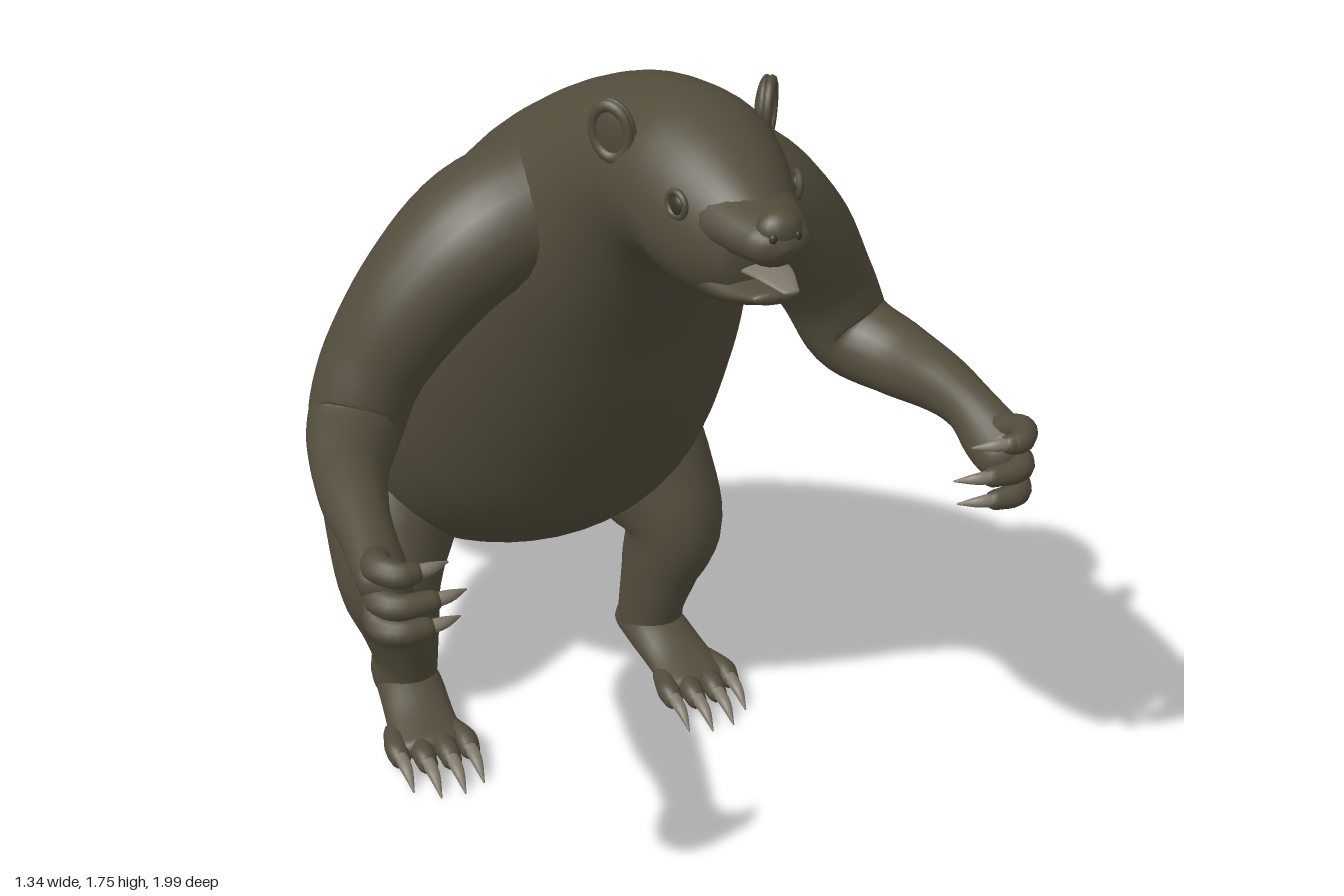
import * as THREE from 'three';

const V = (x, y, z) => new THREE.Vector3(x, y, z);
const spline = (pts) => new THREE.CatmullRomCurve3(pts, false, 'catmullrom', 0.5);

// Skin a list of rings {c, u, v}: each is an ellipse c + u cos + v sin
function skin(rings, sides) {
  const pos = [], index = [];
  rings.forEach(({ c, u, v }) => {
    for (let j = 0; j < sides; j++) {
      const a = (j / sides) * Math.PI * 2;
      const p = c.clone().addScaledVector(u, Math.cos(a)).addScaledVector(v, Math.sin(a));
      pos.push(p.x, p.y, p.z);
    }
  });
  for (let i = 0; i < rings.length - 1; i++) {
    for (let j = 0; j < sides; j++) {
      const k = (j + 1) % sides;
      const a = i * sides + j, b = i * sides + k;
      index.push(a, b, a + sides, b, b + sides, a + sides);
    }
  }
  const g = new THREE.BufferGeometry();
  g.setAttribute('position', new THREE.Float32BufferAttribute(pos, 3));
  g.setIndex(index);
  g.computeVertexNormals();
  return g;
}

// Rounded cap rings beyond a ring, reaching out along vector dir
function cap(ring, dir) {
  return [0.35, 0.65, 0.88, 1].map((t) => {
    const s = Math.sqrt(1 - t * t);
    return {
      c: ring.c.clone().addScaledVector(dir, t),
      u: ring.u.clone().multiplyScalar(s),
      v: ring.v.clone().multiplyScalar(s),
    };
  });
}

function closed(rings, startDir, endDir) {
  return [...cap(rings[0], startDir).reverse(), ...rings, ...cap(rings[rings.length - 1], endDir)];
}

// Limb: points [x, y, z, radius along ref, radius across], smoothed
function limb(rows, ref, s = 1, steps = 5, sides = 20) {
  const path = spline(rows.map((r) => V(r[0] * s, r[1], r[2])));
  const size = spline(rows.map((r) => V(r[3], r[4] ?? r[3], 0)));
  const n = (rows.length - 1) * steps;
  const rings = [], tans = [];
  for (let i = 0; i <= n; i++) {
    const t = path.getTangent(i / n), r = size.getPoint(i / n);
    const u = V(ref[0] * s, ref[1], ref[2]);
    u.addScaledVector(t, -u.dot(t)).normalize();
    const v = t.clone().cross(u);
    rings.push({ c: path.getPoint(i / n), u: u.multiplyScalar(r.x), v: v.multiplyScalar(r.y) });
    tans.push(t);
  }
  const r0 = Math.min(rows[0][3], rows[0][4] ?? 9);
  const last = rows[rows.length - 1];
  const r1 = Math.min(last[3], last[4] ?? 9);
  return skin(closed(rings, tans[0].multiplyScalar(-r0), tans[n].multiplyScalar(r1)), sides);
}

// Body sections, head to tail: top z, y, bottom z, y, half width
const BODY = [
  [0.875, 1.655, 0.86, 1.48, 0.075],
  [0.80, 1.695, 0.80, 1.447, 0.11],
  [0.70, 1.735, 0.73, 1.438, 0.14],
  [0.60, 1.752, 0.65, 1.447, 0.157],
  [0.45, 1.73, 0.57, 1.40, 0.172],
  [0.32, 1.69, 0.50, 1.30, 0.205],
  [0.15, 1.61, 0.43, 1.17, 0.275],
  [-0.05, 1.48, 0.36, 1.01, 0.33],
  [-0.27, 1.27, 0.27, 0.83, 0.37],
  [-0.47, 1.02, 0.15, 0.64, 0.39],
  [-0.60, 0.78, -0.03, 0.48, 0.38],
  [-0.665, 0.60, -0.22, 0.385, 0.33],
  [-0.70, 0.46, -0.42, 0.365, 0.21],
  [-0.75, 0.32, -0.57, 0.22, 0.13],
  [-0.83, 0.21, -0.68, 0.125, 0.095],
  [-0.91, 0.15, -0.82, 0.075, 0.07],
  [-0.975, 0.115, -0.93, 0.055, 0.045],
];

function bodyGeometry() {
  const top = spline(BODY.map((r) => V(0, r[1], r[0])));
  const low = spline(BODY.map((r) => V(0, r[3], r[2])));
  const wide = spline(BODY.map((r) => V(r[4], 0, 0)));
  const n = (BODY.length - 1) * 5, rings = [];
  for (let i = 0; i <= n; i++) {
    const a = top.getPoint(i / n), b = low.getPoint(i / n);
    rings.push({
      c: a.clone().add(b).multiplyScalar(0.5),
      u: a.clone().sub(b).multiplyScalar(0.5),
      v: V(wide.getPoint(i / n).x, 0, 0),
    });
  }
  return skin(closed(rings, V(0, 0, 0.025), V(0, -0.012, -0.045)), 48);
}

export function createModel() {
  const model = new THREE.Group();
  model.name = 'standingBeast';
  const mat = (name, color) => Object.assign(new THREE.MeshStandardMaterial({ color }), { name });
  const fur = mat('olive fur', 0x524c3b);
  const horn = mat('grey claw', 0x80786b);
  const dark = mat('dark eye', 0x39352a);
  const add = (name, geo, material = fur) => {
    const m = new THREE.Mesh(geo, material);
    m.name = name;
    model.add(m);
    return m;
  };
  const ball = new THREE.SphereGeometry(1, 20, 14);

  add('bodyHeadAndTail', bodyGeometry());

  // Muzzle, jaw, nose and tongue
  const Y = [0, 1, 0];
  add('upperMuzzle', limb([
    [0, 1.61, 0.78, 0.07, 0.1], [0, 1.612, 0.86, 0.05, 0.083], [0, 1.612, 0.925, 0.042, 0.06],
  ], Y));
  add('lowerJaw', limb([
    [0, 1.505, 0.78, 0.055, 0.09], [0, 1.503, 0.86, 0.03, 0.072], [0, 1.518, 0.935, 0.014, 0.045],
  ], Y));
  const nose = add('nose', ball);
  nose.position.set(0, 1.637, 0.932);
  nose.scale.set(0.04, 0.034, 0.032);
  add('tongue', limb([
    [0, 1.542, 0.85, 0.012, 0.045], [0, 1.552, 0.92, 0.009, 0.036], [0, 1.548, 0.985, 0.005, 0.015],
  ], Y), horn);

  for (const s of [1, -1]) {
    const side = s > 0 ? 'left' : 'right';

    // Eye, lid and nostril
    const eye = add(side + 'Eye', ball, dark);
    eye.position.set(s * 0.108, 1.635, 0.78);
    eye.scale.set(0.012, 0.02, 0.02);
    const lid = add(side + 'EyeLid', new THREE.TorusGeometry(0.022, 0.006, 8, 20));
    lid.position.set(s * 0.111, 1.635, 0.78);
    lid.rotation.y = s * 1.3;
    const nostril = add(side + 'Nostril', ball, dark);
    nostril.position.set(s * 0.022, 1.632, 0.957);
    nostril.scale.set(0.007, 0.009, 0.006);

    // Cupped ear with a rim
    const ear = new THREE.Group();
    ear.name = side + 'Ear';
    const shell = new THREE.Mesh(ball, fur);
    shell.scale.set(0.045, 0.058, 0.016);
    const rim = new THREE.Mesh(new THREE.TorusGeometry(0.036, 0.009, 8, 24), fur);
    rim.scale.y = 1.3;
    rim.position.z = 0.01;
    ear.add(shell, rim);
    ear.position.set(s * 0.142, 1.697, 0.587);
    ear.rotation.set(0, s * 0.95, -s * 0.2);
    model.add(ear);

    // Arm
    add(side + 'Arm', limb([
      [0.12, 1.45, 0.27, 0.13, 0.14], [0.27, 1.395, 0.26, 0.125, 0.15], [0.39, 1.28, 0.25, 0.115, 0.13],
      [0.48, 1.14, 0.235, 0.1, 0.112], [0.53, 1.035, 0.265, 0.092, 0.095], [0.575, 1.015, 0.37, 0.08, 0.07],
      [0.605, 1.015, 0.5, 0.062, 0.062], [0.615, 1.008, 0.6, 0.052, 0.05], [0.618, 0.985, 0.68, 0.06, 0.045],
      [0.62, 0.975, 0.72, 0.06, 0.042],
    ], [1, 1, 0], s, 6, 24));

    // Fingers curl inward and end in claws
    [1.03, 0.965, 0.912].forEach((y, i) => {
      const dx = [0.02, -0.012, 0][i];
      add(side + 'Finger' + i, limb([
        [0.625, 0.975 + (y - 0.975) * 0.6, 0.69, 0.028], [0.64, y, 0.745, 0.027],
        [0.615, y, 0.782, 0.024], [0.57 + dx, y, 0.785, 0.02],
      ], Y, s, 4, 12));
      add(side + 'FingerClaw' + i, limb([
        [0.575 + dx, y, 0.785, 0.014], [0.535 + dx, y + 0.003, 0.785, 0.011],
        [0.5 + dx, y - 0.005, 0.765, 0.002],
      ], Y, s, 4, 10), horn);
    });

    // Leg
    add(side + 'Leg', limb([
      [0.22, 0.64, -0.42, 0.16, 0.19], [0.27, 0.56, -0.33, 0.18, 0.2], [0.32, 0.455, -0.235, 0.145, 0.165],
      [0.345, 0.36, -0.175, 0.115, 0.13], [0.325, 0.25, -0.185, 0.092, 0.105],
      [0.31, 0.15, -0.2, 0.075, 0.092], [0.31, 0.085, -0.21, 0.075, 0.085],
    ], [1, 0, 0], s, 6, 28));

    // Foot
    add(side + 'Foot', limb([
      [0.305, 0.067, -0.24, 0.055, 0.07], [0.31, 0.065, -0.16, 0.057, 0.075],
      [0.32, 0.048, -0.06, 0.04, 0.078], [0.325, 0.04, 0.02, 0.029, 0.083],
    ], Y, s, 5, 24));

    // Toes and claws
    [[0.248, 0.055], [0.298, 0.075], [0.352, 0.07], [0.402, 0.03]].forEach(([x, z], i) => {
      add(side + 'Toe' + i, limb([
        [0.325 + (x - 0.325) * 0.8, 0.038, z - 0.08, 0.025], [x, 0.042, z - 0.02, 0.026],
        [x, 0.036, z + 0.01, 0.023],
      ], Y, s, 4, 12));
      add(side + 'ToeClaw' + i, limb([
        [x, 0.042, z + 0.015, 0.016], [x, 0.035, z + 0.06, 0.012], [x, 0.009, z + 0.1, 0.002],
      ], Y, s, 4, 10), horn);
    });
  }
  return model;
}
